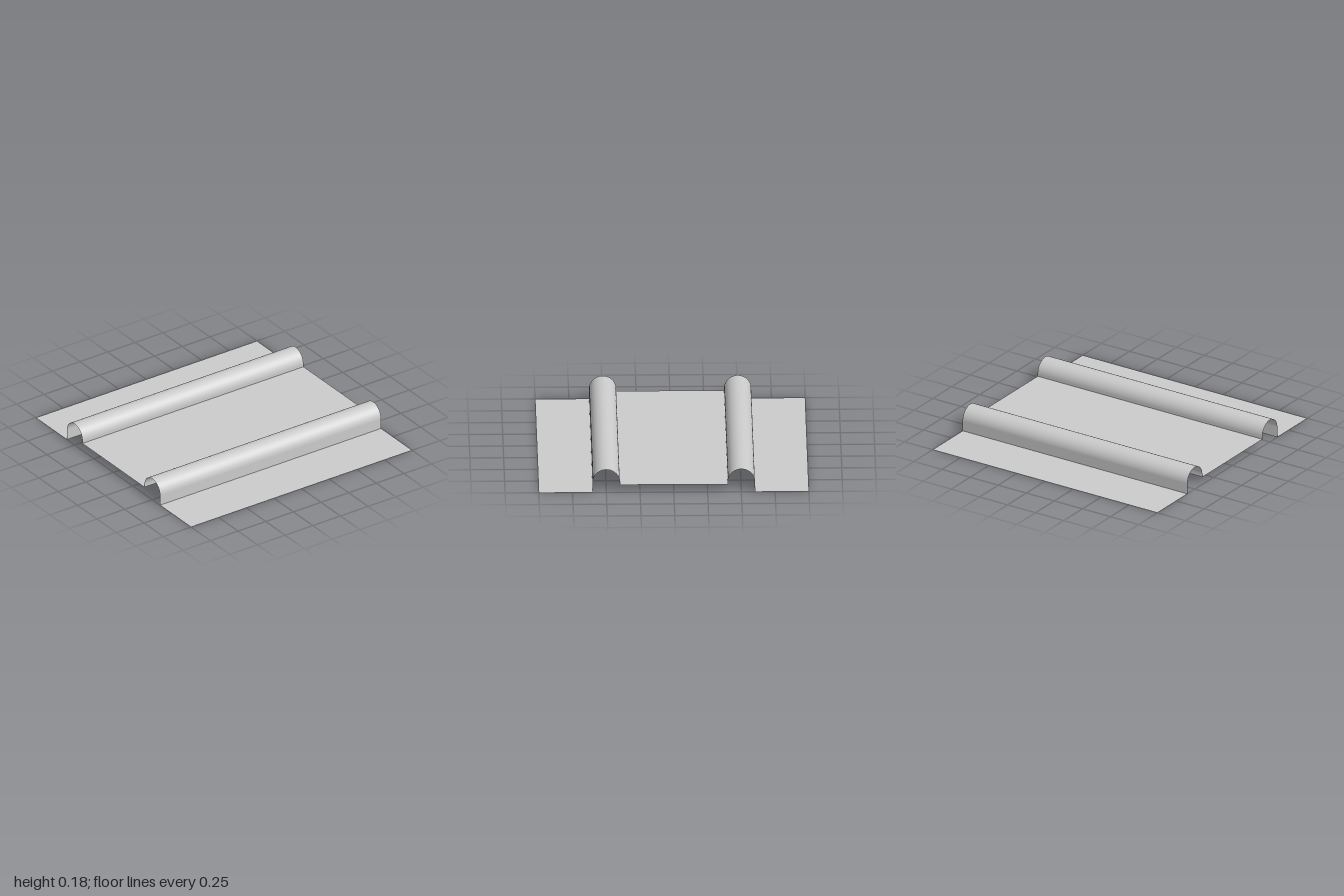
import * as THREE from 'three';

const LENGTH = 2;       // along z
const RADIUS = 0.1;     // rib crown radius
const RIB_X = 0.5;      // rib centre line
const SPRING = 0.08;    // height where the round crown begins
const PAN_Y = 0.06;     // height of the raised middle pan
const SEGMENTS = 24;

const material = new THREE.MeshStandardMaterial({ color: 0xcccccc, side: THREE.DoubleSide });

// Flat panel lying in the xz plane
function panel(name, x0, x1, y) {
  const geometry = new THREE.PlaneGeometry(x1 - x0, LENGTH).rotateX(-Math.PI / 2);
  const mesh = new THREE.Mesh(geometry, material);
  mesh.name = name;
  mesh.position.set((x0 + x1) / 2, y, 0);
  return mesh;
}

// Upright strip facing +x or -x
function wall(name, x, y0, y1, facing) {
  const geometry = new THREE.PlaneGeometry(LENGTH, y1 - y0).rotateY(facing * Math.PI / 2);
  const mesh = new THREE.Mesh(geometry, material);
  mesh.name = name;
  mesh.position.set(x, (y0 + y1) / 2, 0);
  return mesh;
}

// One rib: half-round crown on a tall outer wall and a short inner wall
function rib(name, side) {
  const group = new THREE.Group();
  group.name = name;
  const geometry = new THREE.CylinderGeometry(RADIUS, RADIUS, LENGTH, SEGMENTS, 1, true, Math.PI / 2, Math.PI);
  geometry.rotateX(Math.PI / 2);
  const crown = new THREE.Mesh(geometry, material);
  crown.name = 'ribCrown';
  crown.position.set(side * RIB_X, SPRING, 0);
  group.add(
    crown,
    wall('ribOuterWall', side * (RIB_X + RADIUS), 0, SPRING, side),
    wall('ribInnerWall', side * (RIB_X - RADIUS), PAN_Y, SPRING, -side),
  );
  // The crown must arch upward
  geometry.computeBoundingBox();
  if (geometry.boundingBox.max.y < RADIUS / 2) geometry.rotateZ(Math.PI);
  return group;
}

export function createModel() {
  const model = new THREE.Group();
  model.name = 'ribbedSheet';
  const inner = RIB_X - RADIUS, outer = RIB_X + RADIUS;
  model.add(
    panel('middlePan', -inner, inner, PAN_Y),
    panel('leftFlange', outer, 1, 0),
    panel('rightFlange', -1, -outer, 0),
    rib('leftRib', 1),
    rib('rightRib', -1),
  );
  return model;
}
